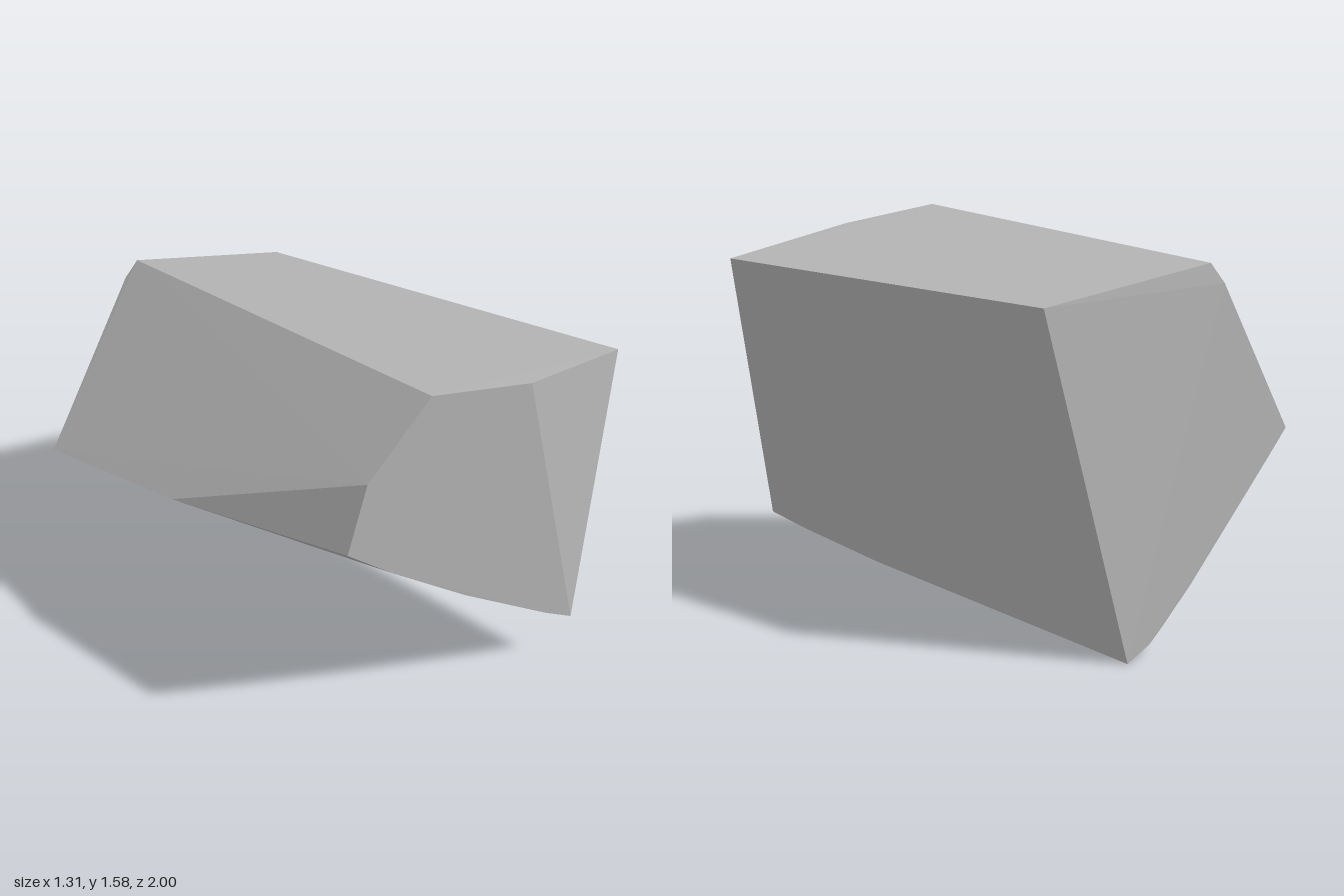
import * as THREE from 'three';
import { ConvexGeometry } from 'three/addons/geometries/ConvexGeometry.js';

export function createModel() {
  const group = new THREE.Group();
  group.name = 'boulder';
  const stone = new THREE.MeshStandardMaterial({ color: 0xb4b4b4 });
  stone.name = 'grey stone';

  // Upper corners: the sloping top, its front edge and its back edge
  const top = [
    [0.65, 1.355, 0.915], [0.04, 1.495, 0.91], [-0.355, 1.58, 0.775], [-0.57, 1.31, 0.69],
    [0.635, 1.23, -0.765], [0, 1.365, -0.975], [-0.05, 1.295, -1],
  ];
  // Rounded rim of the slanted underside: front, left, back, then right edge
  const rim = [
    [0.405, 0.25, 1], [0.27, 0.335, 0.957], [-0.13, 0.62, 0.824], [-0.45, 0.875, 0.719], [-0.63, 1.035, 0.66],
    [-0.66, 0.9, -0.15],
    [-0.57, 0.72, -0.95], [-0.45, 0.61, -0.943], [0, 0.21, -0.917], [0.17, 0.08, -0.909], [0.23, 0.04, -0.907],
    [0.35, 0, -0.905], [0.382, 0.14, 0.35], [0.397, 0.21, 0.8],
  ];

  // Cut stone block with flat faces
  const points = [...top, ...rim].map((p) => new THREE.Vector3(...p));
  const rock = new THREE.Mesh(new ConvexGeometry(points), stone);
  rock.name = 'rock';
  group.add(rock);
  return group;
}
